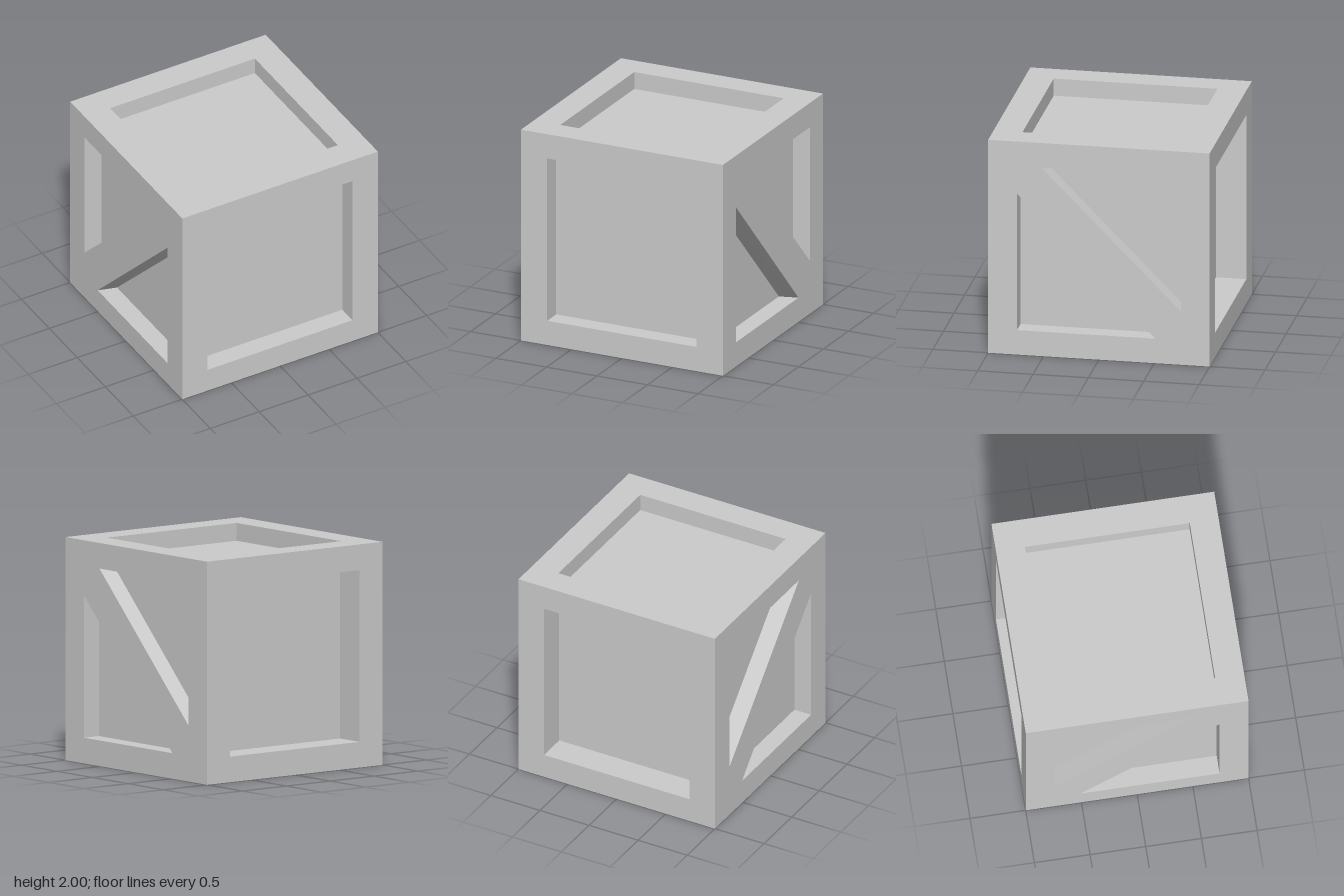
import * as THREE from 'three';
import { mergeGeometries } from 'three/addons/utils/BufferGeometryUtils.js';

const material = new THREE.MeshStandardMaterial({ color: 0xcccccc, flatShading: true });

const points = (outline) => outline.map(([u, v]) => new THREE.Vector2(u, v));

// Counter-clockwise rectangle centred on the panel
const rect = (w, h) => [[-w, -h], [w, -h], [w, h], [-w, h]];

// Walls running from a hole's rim down to its floor outline
function recessWalls(rim, floor, depth) {
  const positions = [], uvs = [];
  rim.forEach((a, i) => {
    const j = (i + 1) % rim.length;
    const A = [...a, 1], B = [...rim[j], 1];
    const C = [...floor[j], 1 - depth], D = [...floor[i], 1 - depth];
    positions.push(...A, ...B, ...C, ...A, ...C, ...D);
    uvs.push(0, 1, 1, 1, 1, 0, 0, 1, 1, 0, 0, 0);
  });
  const g = new THREE.BufferGeometry();
  g.setAttribute('position', new THREE.Float32BufferAttribute(positions, 3));
  g.setAttribute('uv', new THREE.Float32BufferAttribute(uvs, 2));
  g.computeVertexNormals();
  return g;
}

// One crate side, facing +z at distance 1: frame surface, recess walls and recessed floors
function crateSide(name, recesses, depth) {
  const frame = new THREE.Shape(points(rect(1, 1)));
  recesses.forEach(({ rim }) => frame.holes.push(new THREE.Path(points(rim))));
  const parts = [new THREE.ShapeGeometry(frame).translate(0, 0, 1).toNonIndexed()];
  recesses.forEach(({ rim, floor = rim }) => {
    parts.push(recessWalls(rim, floor, depth));
    parts.push(new THREE.ShapeGeometry(new THREE.Shape(points(floor)))
      .translate(0, 0, 1 - depth).toNonIndexed());
  });
  const mesh = new THREE.Mesh(mergeGeometries(parts), material);
  mesh.name = name;
  mesh.position.y = 1;
  return mesh;
}

export function createModel() {
  const crate = new THREE.Group();
  crate.name = 'crate';

  const W = 0.74, H = 0.77;
  const upright = [{ rim: rect(W, H) }];
  const flat = [{ rim: rect(W, W) }];

  // Two triangular recesses leave a diagonal brace; its lower edge is slightly tapered
  const braced = [
    { rim: [[-0.52, H], [W, -0.5], [W, H]] },
    { rim: [[-W, -H], [0.51, -H], [-W, 0.51]], floor: [[-W, -H], [0.46, -H], [-W, 0.45]] },
  ];
  const flip = (outline) => outline && outline.map(([u, v]) => [-u, v]).reverse();
  const bracedMirror = braced.map(({ rim, floor }) => ({ rim: flip(rim), floor: flip(floor) }));

  // name, recesses, depth, rotation about x, rotation about y
  const sides = [
    ['frontPanel', upright, 0.18, 0, 0],
    ['backPanel', upright, 0.275, 0, Math.PI],
    ['bracedPanelPlusX', braced, 0.17, 0, Math.PI / 2],
    ['bracedPanelMinusX', bracedMirror, 0.17, 0, -Math.PI / 2],
    ['topPanel', flat, 0.16, -Math.PI / 2, 0],
    ['bottomPanel', flat, 0.21, Math.PI / 2, 0],
  ];
  for (const [name, recesses, depth, rx, ry] of sides) {
    const side = crateSide(name, recesses, depth);
    side.rotation.set(rx, ry, 0);
    crate.add(side);
  }
  return crate;
}
